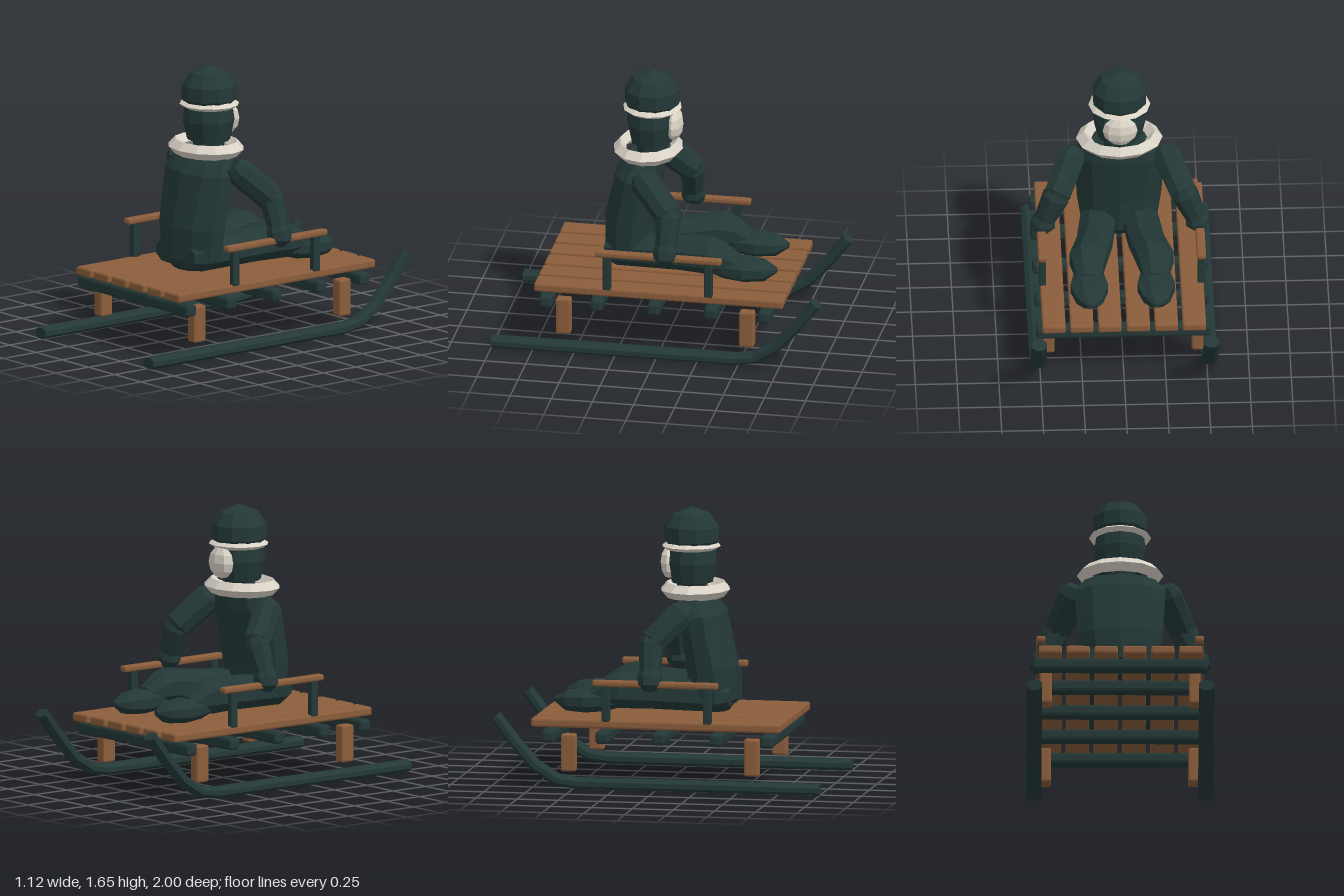
import * as THREE from 'three';
import { RoundedBoxGeometry } from 'three/addons/geometries/RoundedBoxGeometry.js';

// Faceted normals on any geometry
function facet(geo) {
  const g = geo.index ? geo.toNonIndexed() : geo;
  g.computeVertexNormals();
  return g;
}

// Skin elliptical rings [x, y, z, ru, rv] along a path; "axis" fixes the ring normal
function loft(rings, sides, ref, axis) {
  const P = rings.map(r => new THREE.Vector3(r[0], r[1], r[2]));
  const pos = [], idx = [], last = rings.length - 1;
  rings.forEach((r, i) => {
    const t = axis ? axis.clone()
      : P[Math.min(i + 1, last)].clone().sub(P[Math.max(i - 1, 0)]).normalize();
    const u = ref.clone().cross(t).normalize();
    const v = t.clone().cross(u);
    for (let k = 0; k < sides; k++) {
      const a = (k + 0.5) / sides * Math.PI * 2;
      const p = P[i].clone().addScaledVector(u, Math.cos(a) * r[3]).addScaledVector(v, Math.sin(a) * r[4]);
      pos.push(p.x, p.y, p.z);
    }
  });
  const start = rings.length * sides;
  pos.push(...P[0].toArray(), ...P[last].toArray());
  for (let k = 0; k < sides; k++) {
    const n = (k + 1) % sides;
    for (let i = 0; i < last; i++) {
      const a = i * sides + k, b = i * sides + n;
      idx.push(a, b, b + sides, a, b + sides, a + sides);
    }
    idx.push(start, n, k, start + 1, last * sides + k, last * sides + n);
  }
  const g = new THREE.BufferGeometry();
  g.setAttribute('position', new THREE.Float32BufferAttribute(pos, 3));
  g.setIndex(idx);
  return facet(g);
}

export function createModel() {
  const model = new THREE.Group();
  model.name = 'sledWithRider';
  const material = (name, color) => {
    const m = new THREE.MeshStandardMaterial({ color });
    m.name = name;
    return m;
  };
  const dark = material('darkGreen', 0x233837);
  const wood = material('wood', 0x8b5d3b);
  const cream = material('cream', 0xd9d2c6);
  const X = new THREE.Vector3(1, 0, 0), Y = new THREE.Vector3(0, 1, 0), Z = new THREE.Vector3(0, 0, 1);

  const sled = new THREE.Group(), rider = new THREE.Group();
  sled.name = 'sled';
  rider.name = 'rider';
  model.add(sled, rider);

  function add(parent, name, geo, mat, x = 0, y = 0, z = 0) {
    const m = new THREE.Mesh(geo, mat);
    m.name = name;
    m.position.set(x, y, z);
    parent.add(m);
    return m;
  }
  const bar = (name, mat, w, h, d, x, y, z, r = 0.012) =>
    add(sled, name, facet(new RoundedBoxGeometry(w, h, d, 1, r)), mat, x, y, z);

  // Deck slats and the bars under them
  for (const x of [-0.42, -0.253, -0.085, 0.085, 0.253, 0.42])
    bar('slat', wood, 0.14, 0.053, 1.515, x, 0.393, -0.007);
  for (const z of [0.675, 0.365, 0.017, -0.328, -0.657])
    bar('crossbar', dark, 1.05, 0.075, 0.078, 0, 0.316, z, 0.018);

  for (const s of [-1, 1]) {
    // Runner with an upturned tip
    const runner = [[1, 0.04], [-0.48, 0.04], [-0.6, 0.058], [-0.73, 0.14], [-0.86, 0.285], [-0.975, 0.435]];
    add(sled, 'runner', loft(runner.map(([z, y]) => [s * 0.515, y, z, 0.05, 0.037]), 8, Y), dark);
    // Legs, handrail and its posts
    for (const z of [0.575, -0.54])
      bar('sledLeg', wood, 0.07, 0.225, 0.09, s * 0.445, 0.213, z);
    bar('handrail', wood, 0.055, 0.038, 0.765, s * 0.475, 0.641, -0.008);
    for (const z of [0.308, -0.31])
      bar('railPost', dark, 0.042, 0.23, 0.05, s * 0.475, 0.525, z, 0.008);

    // Rider's leg and boot
    add(rider, 'leg', loft([
      [s * 0.1, 0.53, 0.38, 0.09, 0.07], [s * 0.11, 0.53, 0.31, 0.115, 0.1],
      [s * 0.155, 0.55, -0.08, 0.115, 0.105], [s * 0.2, 0.565, -0.27, 0.12, 0.115],
      [s * 0.2, 0.555, -0.35, 0.1, 0.095], [s * 0.2, 0.51, -0.45, 0.075, 0.07]], 8, Y, Z.clone().negate()), dark);
    add(rider, 'boot', loft([
      [s * 0.2, 0.5, -0.28, 0.06, 0.045], [s * 0.2, 0.5, -0.36, 0.095, 0.07],
      [s * 0.2, 0.495, -0.48, 0.122, 0.075], [s * 0.2, 0.492, -0.6, 0.085, 0.064],
      [s * 0.197, 0.497, -0.675, 0.018, 0.015]], 8, Y, Z.clone().negate()), dark);

    // Rider's arm: upper arm, forearm and mitten
    add(rider, 'upperArm', loft([
      [s * 0.265, 1.085, 0.15, 0.055, 0.055], [s * 0.285, 1.045, 0.115, 0.088, 0.088],
      [s * 0.375, 0.885, -0.045, 0.085, 0.085], [s * 0.39, 0.85, -0.065, 0.05, 0.05]], 8, X), dark);
    add(rider, 'forearm', loft([
      [s * 0.365, 0.925, -0.05, 0.06, 0.05], [s * 0.385, 0.87, -0.05, 0.085, 0.077],
      [s * 0.455, 0.7, -0.045, 0.064, 0.064]], 8, Z), dark);
    add(rider, 'mitten', loft([
      [s * 0.44, 0.735, -0.045, 0.055, 0.06], [s * 0.46, 0.68, -0.045, 0.078, 0.077],
      [s * 0.475, 0.64, -0.045, 0.07, 0.07], [s * 0.465, 0.608, -0.045, 0.035, 0.04]], 8, Z), dark);
  }

  // Torso, leaning slightly forward
  add(rider, 'torso', loft([
    [0, 0.43, 0.26, 0.12, 0.09], [0, 0.5, 0.255, 0.235, 0.15], [0, 0.7, 0.25, 0.265, 0.158],
    [0, 1.02, 0.19, 0.285, 0.145], [0, 1.115, 0.155, 0.22, 0.11]], 10, Z, Y), dark);

  // Head and cap, both turned shapes
  const turned = (pts, sides) => facet(new THREE.LatheGeometry(pts.map(p => new THREE.Vector2(...p)), sides));
  add(rider, 'head', turned([[0, 1.08], [0.09, 1.08], [0.1, 1.19], [0.135, 1.2], [0.162, 1.32],
    [0.148, 1.42], [0.12, 1.46], [0, 1.46]], 10), dark, 0, 0, 0.125).scale.z = 0.93;
  add(rider, 'cap', turned([[0, 1.435], [0.155, 1.435], [0.165, 1.45], [0.165, 1.535], [0.115, 1.61],
    [0, 1.655]], 10), dark, 0, 0, 0.122);

  // Pale face mask
  const mask = facet(new THREE.SphereGeometry(1, 8, 6));
  add(rider, 'faceMask', mask, cream, 0, 1.315, -0.012).scale.set(0.105, 0.1, 0.056);

  // Fur trims with a diamond section
  function trim(name, rx, rz, tube, height, y, z) {
    const g = new THREE.TorusGeometry(1, tube, 4, 12);
    g.rotateX(Math.PI / 2);
    g.scale(rx, height / 2 / tube, rz);
    add(rider, name, facet(g), cream, 0, y, z);
  }
  trim('collarTrim', 0.213, 0.172, 0.22, 0.09, 1.157, 0.145);
  trim('capTrim', 0.155, 0.148, 0.2, 0.042, 1.418, 0.12);

  return model;
}
